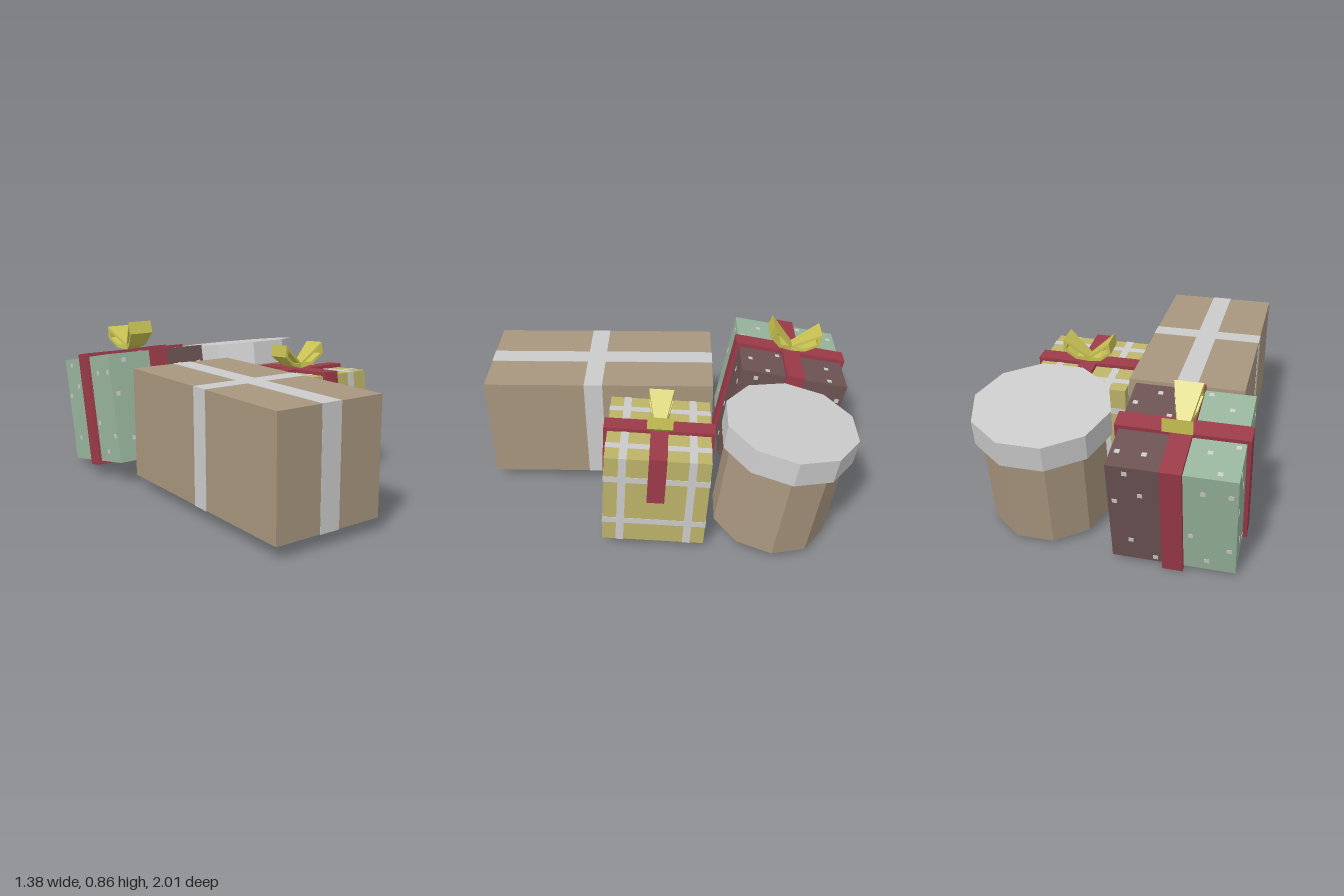
import * as THREE from 'three';

const material = (color) => new THREE.MeshStandardMaterial({ color, flatShading: true, side: THREE.DoubleSide });
const kraft = material(0xa8967e), tape = material(0xc4c4c4), grey = material(0xcccccc);
const yellow = material(0xbdb469), red = material(0x9c3b49), gold = material(0xc8c253);
const green = material(0x98b59d), plum = material(0x6d5353);
const SKIN = 0.004; // how far printed stripes stand off the paper

function add(parent, name, geometry, mat, x = 0, y = 0, z = 0) {
  const mesh = new THREE.Mesh(geometry, mat);
  mesh.name = name;
  mesh.position.set(x, y, z);
  parent.add(mesh);
  return mesh;
}

const box = (w, h, d) => new THREE.BoxGeometry(w, h, d);

function part(root, name, x, y, z, tilt = 0) {
  const group = new THREE.Group();
  group.name = name;
  group.position.set(x, y, z);
  group.rotation.x = tilt;
  root.add(group);
  return group;
}

// Two hollow loops that widen away from the middle
function makeBow(scale) {
  const bow = new THREE.Group();
  bow.name = 'bow';
  const points = (list) => list.map(([x, y]) => new THREE.Vector2(x, y));
  const shape = new THREE.Shape(points([[0, 0], [0.07, 0.018], [0.135, 0.075], [0.127, 0.14], [0, 0.03]]));
  shape.holes.push(new THREE.Path(points([[0.02, 0.03], [0.112, 0.11], [0.117, 0.078], [0.064, 0.034]])));
  const geometry = new THREE.ExtrudeGeometry(shape, { depth: 1, bevelEnabled: false });
  geometry.translate(0, 0, -0.5);
  const pos = geometry.attributes.position;
  for (let i = 0; i < pos.count; i++) {
    const width = 0.06 + 0.07 * Math.min(1, pos.getX(i) / 0.125);
    pos.setZ(i, pos.getZ(i) * width);
  }
  geometry.computeVertexNormals();
  for (const turn of [0, Math.PI]) add(bow, 'bowLoop', geometry, gold).rotation.y = turn;
  bow.scale.setScalar(scale);
  return bow;
}

// Long parcel with crossed tape
function longParcel(root) {
  const [w, h, d] = [0.6, 0.59, 1.24];
  const g = part(root, 'longParcel', -0.3, 0.365, 0.38);
  add(g, 'parcelBody', box(w, h, d), kraft);
  add(g, 'lengthTape', box(0.11, h + SKIN, d + SKIN), tape);
  add(g, 'crossTape', box(w + SKIN, h + SKIN, 0.1), tape, 0, 0, 0.03);
}

// Checked cube with hanging ribbons
function checkedGift(root) {
  const s = 0.533, t = 0.02, hang = 0.255, wide = 0.09;
  const g = part(root, 'checkedGift', 0.295, 0.325, 0.06, -0.065);
  add(g, 'giftBody', box(s, s, s), yellow);
  const o = s + SKIN;
  for (const side of [-1, 1]) {
    add(g, 'stripeX', box(0.04, o, o), tape, side * 0.16, 0, 0);
    add(g, 'stripeZ', box(o, o, 0.04), tape, 0, 0, side * 0.175);
    add(g, 'stripeY', box(o, 0.034, o), tape, 0, side * 0.135, 0);
  }
  for (const turn of [0, Math.PI / 2]) {
    const strap = new THREE.Group();
    strap.name = 'ribbon';
    strap.rotation.y = turn;
    g.add(strap);
    add(strap, 'ribbonTop', box(s + 2 * t, t, wide), red, 0, (s + t) / 2, 0);
    for (const side of [-1, 1]) {
      add(strap, 'ribbonEnd', box(t, hang, wide), red, side * (s + t) / 2, (s - hang) / 2, 0);
    }
  }
  const bow = makeBow(1);
  bow.position.y = s / 2 + t;
  g.add(bow);
}

// Two-tone spotted cube tied all round
function spottedGift(root) {
  const s = 0.595, outer = 0.636, wide = 0.1;
  const g = part(root, 'spottedGift', -0.372, 0.375, -0.632, -0.188);
  add(g, 'greenHalf', box(s / 2, s, s), green, -s / 4, 0, 0);
  add(g, 'plumHalf', box(s / 2, s, s), plum, s / 4, 0, 0);
  add(g, 'ribbonAcross', box(outer, outer, wide), red);
  add(g, 'ribbonAlong', box(wide, outer, outer), red);

  // Paper spots, repeated on all six faces
  const spots = [[-0.21, 0.26], [-0.145, 0.135], [-0.265, 0.08], [-0.085, -0.27], [-0.2, -0.17],
    [0.14, 0.2], [0.265, 0.2], [0.265, -0.15], [0.085, -0.08], [0.16, -0.24]];
  const turns = [[0, 0], [0, 1], [0, 2], [0, 3], [1, 0], [-1, 0]];
  for (const [rx, ry] of turns) {
    const face = new THREE.Group();
    face.name = 'spots';
    face.rotation.set(rx * Math.PI / 2, ry * Math.PI / 2, 0);
    g.add(face);
    for (const [x, y] of spots) add(face, 'spot', box(0.024, 0.024, SKIN), tape, x, y, s / 2);
  }
  const bow = makeBow(1.08);
  bow.position.y = outer / 2;
  bow.rotation.y = Math.PI / 2;
  g.add(bow);
}

// Ten-sided drum box with an overhanging lid
function drumBox(root) {
  const g = part(root, 'drumBox', 0.338, 0.059, -0.539, -0.138);
  const drum = (r, h) => new THREE.CylinderGeometry(r, r, h, 10, 1, false, Math.PI / 10);
  add(g, 'drumBody', drum(0.31, 0.5), kraft, 0, 0.25, 0);
  add(g, 'drumLid', drum(0.347, 0.136), grey, 0, 0.558, 0);
}

export function createModel() {
  const root = new THREE.Group();
  root.name = 'giftPile';
  longParcel(root);
  checkedGift(root);
  spottedGift(root);
  drumBox(root);
  return root;
}
